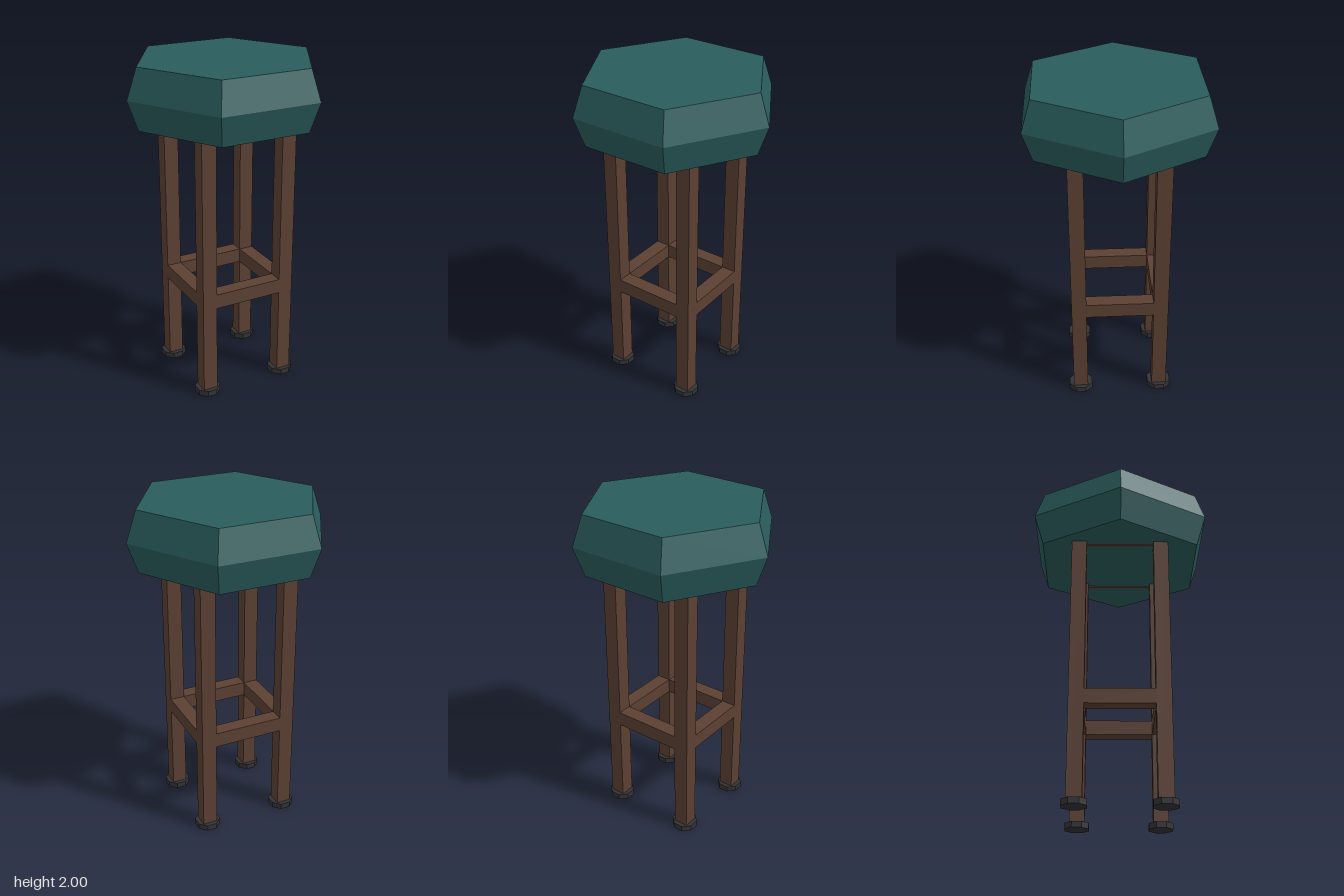
import * as THREE from 'three';

const material = (color) => new THREE.MeshStandardMaterial({ color, flatShading: true });

export function createModel() {
  const stool = new THREE.Group();
  stool.name = 'stool';
  const teal = material(0x2a5c5c);
  const wood = material(0x5c4033);
  const rubber = material(0x333336);

  const add = (name, geometry, mat, x, y, z) => {
    const mesh = new THREE.Mesh(geometry, mat);
    mesh.name = name;
    mesh.position.set(x, y, z);
    stool.add(mesh);
  };

  // Hexagonal cushion, widest at mid height, corners on the x axis
  const profile = [[0, 1.64], [0.545, 1.64], [0.608, 1.82], [0.545, 2], [0, 2]]
    .map(([r, y]) => new THREE.Vector2(r, y));
  const cushion = new THREE.LatheGeometry(profile, 6).rotateY(Math.PI / 2);
  add('seat', cushion, teal, 0, 0, 0);

  const legX = 0.258, legZ = 0.248, thick = 0.09;
  const legBottom = 0.02, legTop = 1.66;

  // Square legs on octagonal feet
  for (const sx of [-1, 1]) {
    for (const sz of [-1, 1]) {
      add('leg', new THREE.BoxGeometry(thick, legTop - legBottom, thick), wood,
        sx * legX, (legTop + legBottom) / 2, sz * legZ);
      const foot = new THREE.CylinderGeometry(0.077, 0.077, 0.036, 8).rotateY(Math.PI / 8);
      add('foot', foot, rubber, sx * legX, 0.018, sz * legZ);
    }
  }

  // Stretchers flush with the legs, and slim bearers just under the cushion
  for (const s of [-1, 1]) {
    add('crossStretcher', new THREE.BoxGeometry(2 * legX - thick, thick, thick), wood,
      0, 0.625, s * legZ);
    add('sideStretcher', new THREE.BoxGeometry(thick, thick, 2 * legZ - thick), wood,
      s * legX, 0.625, 0);
    add('seatBearer', new THREE.BoxGeometry(0.02, 0.02, 2 * legZ - thick), wood,
      s * legX, 1.645, 0);
  }

  return stool;
}
